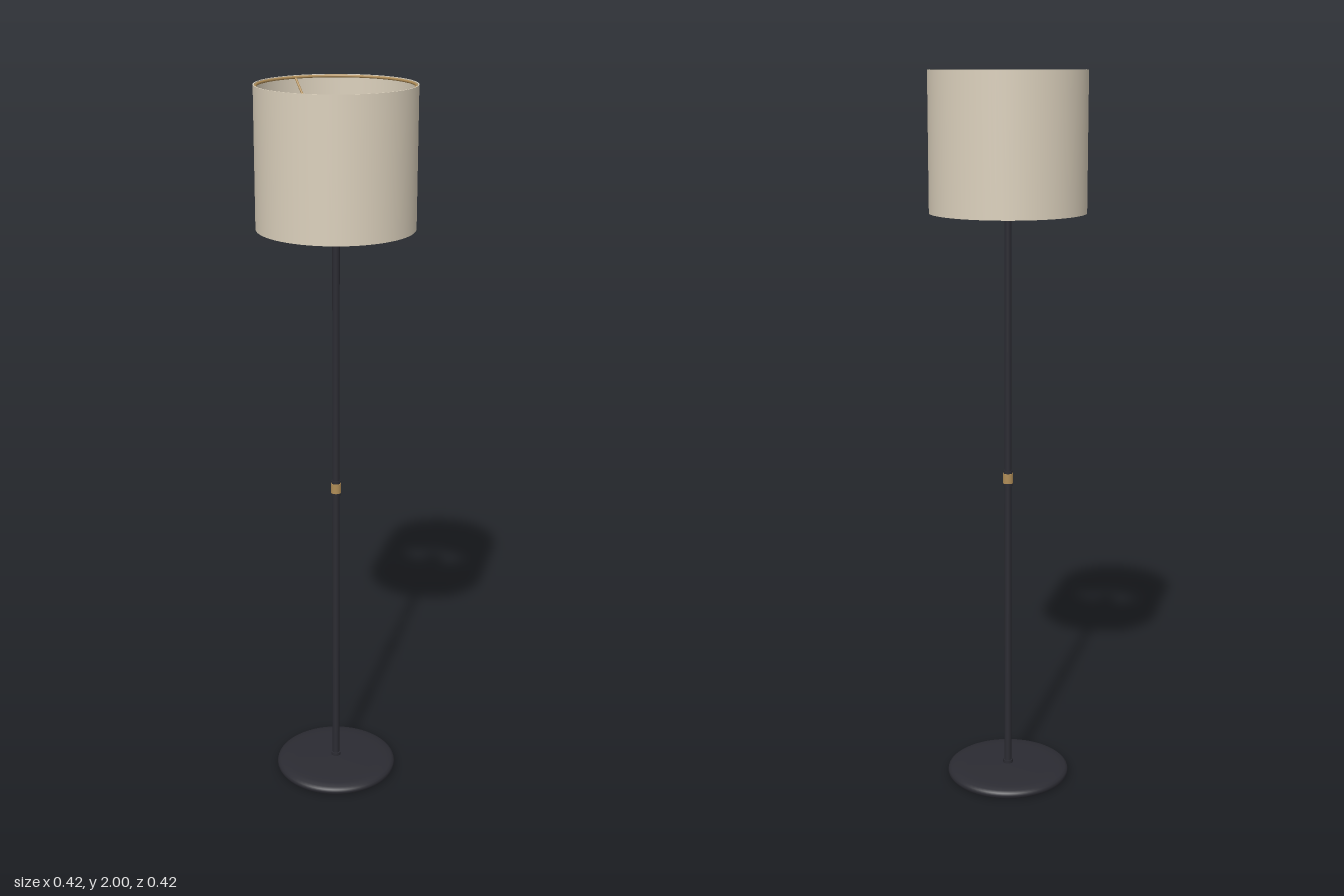
import * as THREE from 'three';

const material = (name, color, side = THREE.FrontSide) => {
  const m = new THREE.MeshStandardMaterial({ color, side });
  m.name = name;
  return m;
};

export function createModel() {
  const lamp = new THREE.Group();
  lamp.name = 'floorLamp';
  const black = material('blackMetal', 0x2b2b32);
  const brass = material('brass', 0xb08d57);
  const linen = material('linen', 0xdbd0bc, THREE.DoubleSide);
  const glass = material('bulbGlass', 0xe8e0d0);

  const add = (name, geometry, mat, y = 0) => {
    const mesh = new THREE.Mesh(geometry, mat);
    mesh.name = name;
    mesh.position.y = y;
    lamp.add(mesh);
    return mesh;
  };
  const lathe = (points, segments = 48) =>
    new THREE.LatheGeometry(points.map(([x, y]) => new THREE.Vector2(x, y)), segments);
  const rod = (r, h) => new THREE.CylinderGeometry(r, r, h, 24);
  const ring = (r, tube, segments = 64) =>
    new THREE.TorusGeometry(r, tube, 10, segments).rotateX(Math.PI / 2);

  // Weighted base with a softly rounded rim
  add('base', lathe([
    [0, 0], [0.168, 0], [0.168, 0], [0.173, 0.004], [0.175, 0.011], [0.173, 0.018],
    [0.166, 0.023], [0.15, 0.027], [0.12, 0.03], [0, 0.031],
  ], 72), black);

  // Pole with a joint halfway up
  add('pole', rod(0.01, 1.64), black, 0.84);
  add('poleFoot', rod(0.014, 0.012), black, 0.034);
  add('jointCollar', rod(0.0145, 0.028), brass, 0.895);
  add('jointSeat', rod(0.0125, 0.044), black, 0.895);

  // Socket, switch and bulb
  add('socket', lathe([
    [0, 1.65], [0.018, 1.65], [0.022, 1.655], [0.022, 1.655],
    [0.022, 1.73], [0.022, 1.73], [0, 1.73],
  ], 32), black);
  const knob = add('switchKnob', rod(0.006, 0.014).rotateZ(Math.PI / 2), brass, 1.705);
  knob.position.x = 0.028;
  add('bulb', lathe([
    [0.016, 1.725], [0.018, 1.735], [0.03, 1.747], [0.038, 1.76], [0.039, 1.772],
    [0.034, 1.786], [0.022, 1.797], [0.01, 1.801], [0, 1.802],
  ], 32), glass);

  // Shade: a thin open drum with closed edges
  add('shade', lathe([
    [0.211, 1.63], [0.211, 2], [0.211, 2], [0.208, 2],
    [0.208, 2], [0.208, 1.63], [0.208, 1.63], [0.211, 1.63],
  ], 96), linen);

  // Wire frame: rim rings, central hub and three sloping arms
  add('topRing', ring(0.2055, 0.0035), brass, 1.995);
  add('bottomRing', ring(0.2055, 0.0035), brass, 1.635);
  add('hub', ring(0.022, 0.008, 32), brass, 1.797);
  for (let i = 0; i < 3; i++) {
    const angle = (i * Math.PI * 2) / 3;
    const at = (r, y) => new THREE.Vector3(Math.sin(angle) * r, y, Math.cos(angle) * r);
    const path = new THREE.LineCurve3(at(0.024, 1.799), at(0.205, 1.994));
    add('shadeArm', new THREE.TubeGeometry(path, 1, 0.003, 10), brass);
  }
  return lamp;
}
